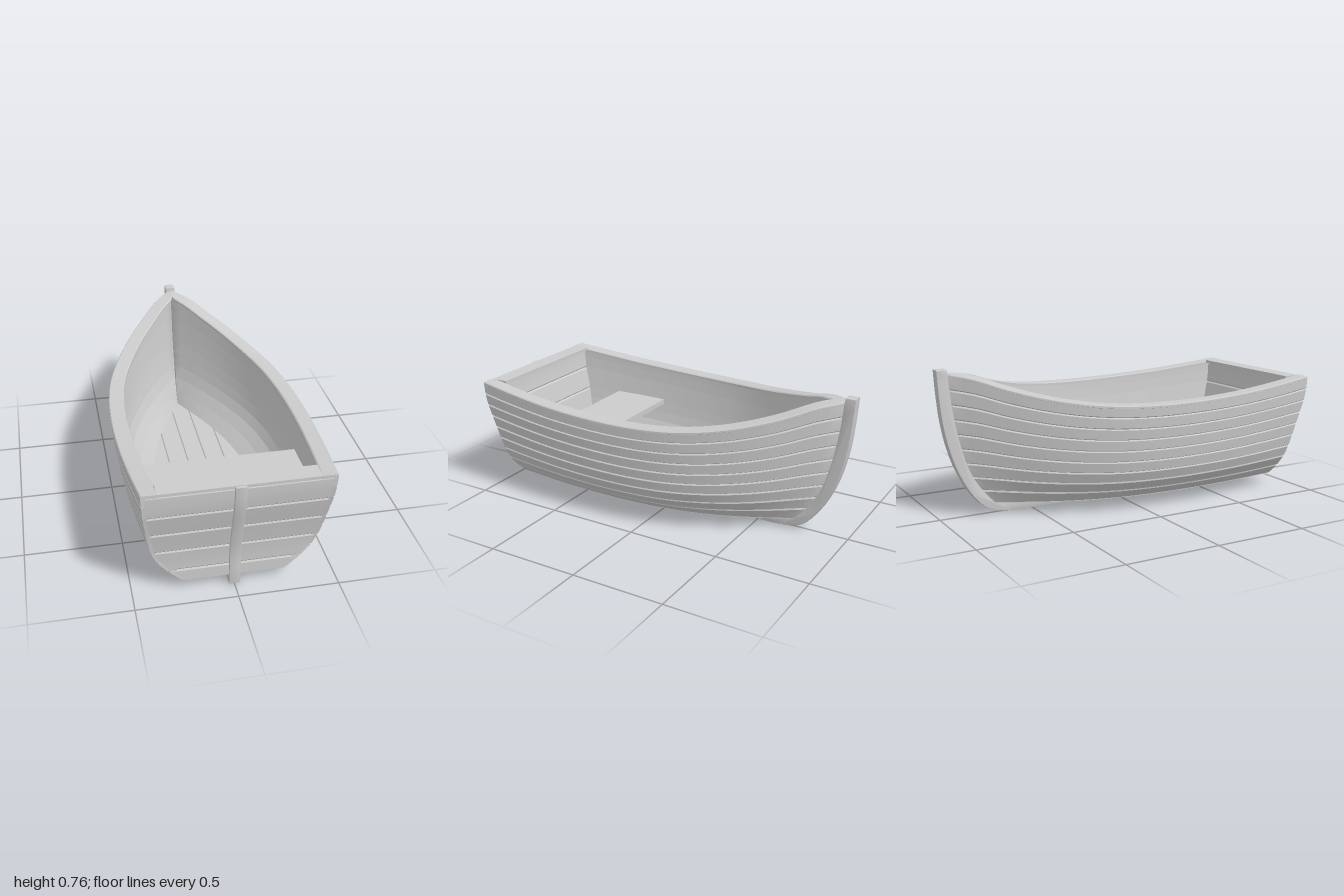
import * as THREE from 'three';
import { toCreasedNormals } from 'three/addons/utils/BufferGeometryUtils.js';

const material = new THREE.MeshStandardMaterial({ color: 0xcccccc, side: THREE.DoubleSide });
const STRAKES = 9, STATIONS = 48, BOTTOM = 0.055, THICK = 0.03;
const { lerp } = THREE.MathUtils;
const V = (x, y, z) => new THREE.Vector3(x, y, z);

// Smooth 1D function through [input, output] pairs, inputs ascending
function through(pairs) {
  const c = new THREE.CubicInterpolant(pairs.map(p => p[0]), pairs.map(p => p[1]), 1);
  return x => c.evaluate(x)[0];
}

// Hull lines: gunwale and chine half-widths and sheer height along z
const gunwale = through([[-0.965, 0], [-0.9, 0.065], [-0.8, 0.147], [-0.6, 0.285], [-0.4, 0.385],
  [-0.2, 0.453], [0, 0.487], [0.2, 0.5], [0.4, 0.5], [0.6, 0.49], [0.8, 0.473], [0.985, 0.453]]);
const chine = through([[-0.76, 0], [-0.6, 0.085], [-0.4, 0.175], [-0.2, 0.238], [0, 0.273],
  [0.3, 0.29], [0.6, 0.28], [0.9, 0.25]]);
const sheer = through([[-0.965, 0.742], [-0.85, 0.722], [-0.7, 0.67], [-0.5, 0.62], [-0.3, 0.59],
  [0, 0.575], [0.5, 0.59], [0.8, 0.617], [0.985, 0.638]]);
// Rake of the stern and bow, and fullness of the section, by height fraction v
const sternZ = through([[0, 0.9], [0.25, 0.903], [0.5, 0.93], [0.85, 0.98], [1, 0.985]]);
const bowZ = through([[0, -0.76], [0.1, -0.81], [0.25, -0.87], [0.5, -0.92], [0.75, -0.95], [1, -0.965]]);
const fullness = through([0, 0.36, 0.62, 0.76, 0.83, 0.88, 0.92, 0.96, 0.985, 1].map((f, i) => [i / 9, f]));

// Point on the outer hull: t runs stern to bow, v runs chine to gunwale
function hull(t, v) {
  const zg = lerp(0.985, -0.965, t);
  const c = chine(lerp(0.9, -0.76, t));
  const f = lerp(fullness(v), Math.pow(v, 0.8), 0.6 * t ** 3);
  return V(lerp(c, gunwale(zg), f), lerp(BOTTOM, sheer(zg), v), lerp(sternZ(v), bowZ(v), t));
}

// Skin a list of rings, cap both ends and face everything outward
function loft(rings, crease = 0.5) {
  const n = rings[0].length, pts = rings.flat(), tris = [];
  for (let r = 0; r < rings.length - 1; r++)
    for (let i = 0; i < n; i++) {
      const a = r * n + i, b = r * n + (i + 1) % n;
      tris.push([a, b, b + n], [a, b + n, a + n]);
    }
  const last = (rings.length - 1) * n;
  for (let i = 1; i < n - 1; i++) tris.push([0, i + 1, i], [last, last + i, last + i + 1]);
  let volume = 0;
  for (const [a, b, c] of tris) volume += pts[a].dot(V().crossVectors(pts[b], pts[c]));
  if (volume < 0) tris.forEach(t => t.reverse());
  const g = new THREE.BufferGeometry().setFromPoints(pts);
  g.setIndex(tris.flat());
  return toCreasedNormals(g.toNonIndexed(), crease);
}

function add(parent, name, geometry) {
  const m = new THREE.Mesh(geometry, material);
  m.name = name;
  parent.add(m);
  return m;
}

const mirrored = (rings, s) => rings.map(r => r.map(p => V(p.x * s, p.y, p.z)));
const stations = Array.from({ length: STATIONS + 1 }, (_, i) => i / STATIONS);

// One bevelled side plank between two seams
function strakeRings(k) {
  const v0 = k / STRAKES, v1 = (k + 1) / STRAKES, e = 0.09 / STRAKES;
  return stations.map(t => {
    const up = hull(t, v1).sub(hull(t, v0));
    const tb = Math.min(t + 0.01, 1), ta = tb - 0.02;
    const along = hull(tb, (v0 + v1) / 2).sub(hull(Math.max(ta, 0), (v0 + v1) / 2));
    const inward = V().crossVectors(up, along).normalize();
    if (inward.x > 0) inward.negate();
    return [[v0, 0.006], [v0 + e, 0], [v1 - e, 0], [v1, 0.006], [v1, THICK], [v0, THICK]].map(([v, d]) => {
      const p = hull(t, v).addScaledVector(inward, d);
      p.x = Math.max(p.x, 0);
      p.y = Math.max(p.y, BOTTOM);
      return p;
    });
  });
}

// Flat capping rail, its inner edge offset square to the sheer line
function railRings() {
  return stations.map(t => {
    const p = hull(t, 1);
    const d = hull(Math.min(t + 0.01, 1), 1).sub(hull(Math.max(t - 0.01, 0), 1));
    const inward = V(d.z, 0, -d.x).normalize();
    const at = (w, y) => V(Math.max(0, p.x + inward.x * w), p.y + y, t === 0 ? p.z : p.z + inward.z * w);
    return [at(0.004, -0.014), at(0, -0.01), at(0, 0), at(0.005, 0.005),
      at(0.074, 0.005), at(0.08, 0), at(0.08, -0.014)];
  });
}

// Horizontal transom plank between two heights
function transomPlank(y0, y1) {
  const b = 0.008;
  return loft([[y0, 0.006], [y0 + b, 0], [(y0 + y1) / 2, 0], [y1 - b, 0], [y1, 0.006]].map(([y, inset]) => {
    const v = (y - BOTTOM) / (0.638 - BOTTOM);
    const w = hull(0, v).x - 0.018, z = sternZ(v);
    return [V(-w, y, z - inset), V(w, y, z - inset), V(w, y, z - 0.04 + inset), V(-w, y, z - 0.04 + inset)];
  }));
}

// Bevelled slab cut from a side profile given in (z, y), centred on x
function slab(shape, width) {
  const b = 0.005;
  const g = new THREE.ExtrudeGeometry(shape, { depth: width - 2 * b, bevelSize: b, bevelOffset: -b,
    bevelThickness: b, bevelSegments: 2, curveSegments: 12 });
  g.translate(0, 0, b - width / 2);
  g.rotateY(-Math.PI / 2);
  return toCreasedNormals(g, 0.6);
}

export function createModel() {
  const boat = new THREE.Group();
  boat.name = 'rowingBoat';

  // Planked sides and rails
  for (const s of [1, -1]) {
    const side = new THREE.Group();
    side.name = s > 0 ? 'leftSide' : 'rightSide';
    for (let k = 0; k < STRAKES; k++) add(side, 'strake' + (k + 1), loft(mirrored(strakeRings(k), s)));
    add(side, 'gunwaleRail', loft(mirrored(railRings(), s)));
    boat.add(side);
  }

  // Bottom boards, trimmed to the chine
  const floor = new THREE.Group();
  floor.name = 'bottomBoards';
  const seams = [-0.3, -0.16, -0.052, 0.052, 0.16, 0.3];
  for (let i = 0; i < 5; i++)
    add(floor, 'bottomBoard' + (i + 1), loft(stations.map(t => {
      const z = lerp(0.9, -0.76, t), c = chine(z);
      const at = (x, y) => V(THREE.MathUtils.clamp(x, -c, c), y, z);
      const a = seams[i], b = seams[i + 1], e = 0.005;
      return [at(a, 0.061), at(a + e, BOTTOM), at(b - e, BOTTOM), at(b, 0.061),
        at(b, 0.069), at(b - e, 0.075), at(a + e, 0.075), at(a, 0.069)];
    })));
  boat.add(floor);

  // Transom planks and cap
  const transom = new THREE.Group();
  transom.name = 'transom';
  const heights = [0.055, 0.125, 0.25, 0.375, 0.5, 0.628];
  for (let i = 0; i < 5; i++) add(transom, 'transomPlank' + (i + 1), transomPlank(heights[i], heights[i + 1]));
  add(transom, 'transomCap', new THREE.BoxGeometry(0.76, 0.016, 0.092)).position.set(0, 0.633, 0.937);
  boat.add(transom);

  // Keel sweeping up into the stem
  const keel = new THREE.Shape();
  keel.moveTo(0.9, 0);
  keel.lineTo(-0.58, 0);
  keel.splineThru([[-0.7, 0.012], [-0.77, 0.045], [-0.84, 0.125], [-0.9, 0.235], [-0.945, 0.36],
    [-0.975, 0.5], [-0.99, 0.64], [-0.998, 0.765]].map(p => new THREE.Vector2(...p)));
  keel.lineTo(-0.943, 0.765);
  keel.lineTo(-0.938, 0.735);
  keel.splineThru([[-0.925, 0.6], [-0.9, 0.45], [-0.86, 0.3], [-0.805, 0.18], [-0.73, 0.085],
    [-0.68, 0.062]].map(p => new THREE.Vector2(...p)));
  keel.lineTo(0.9, 0.062);
  add(boat, 'keelAndStem', slab(keel, 0.056));

  // Stern post following the transom rake
  const post = new THREE.Shape();
  const rake = Array.from({ length: 13 }, (_, i) => [sternZ(i / 12), lerp(BOTTOM, 0.638, i / 12)]);
  post.moveTo(0.87, 0.003);
  post.lineTo(0.908, 0.003);
  rake.forEach(([z, y]) => post.lineTo(z + 0.014, y));
  rake.reverse().forEach(([z, y]) => post.lineTo(z - 0.015, y));
  add(boat, 'sternPost', slab(post, 0.056));

  // Seat spanning the hull
  add(boat, 'seat', loft([0.69, 0.53, 0.37].map(z => {
    const w = z > 0.6 ? 0.425 : 0.435;
    return [V(-w, 0.35, z), V(w, 0.35, z), V(w, 0.38, z), V(-w, 0.38, z)];
  })));
  return boat;
}
